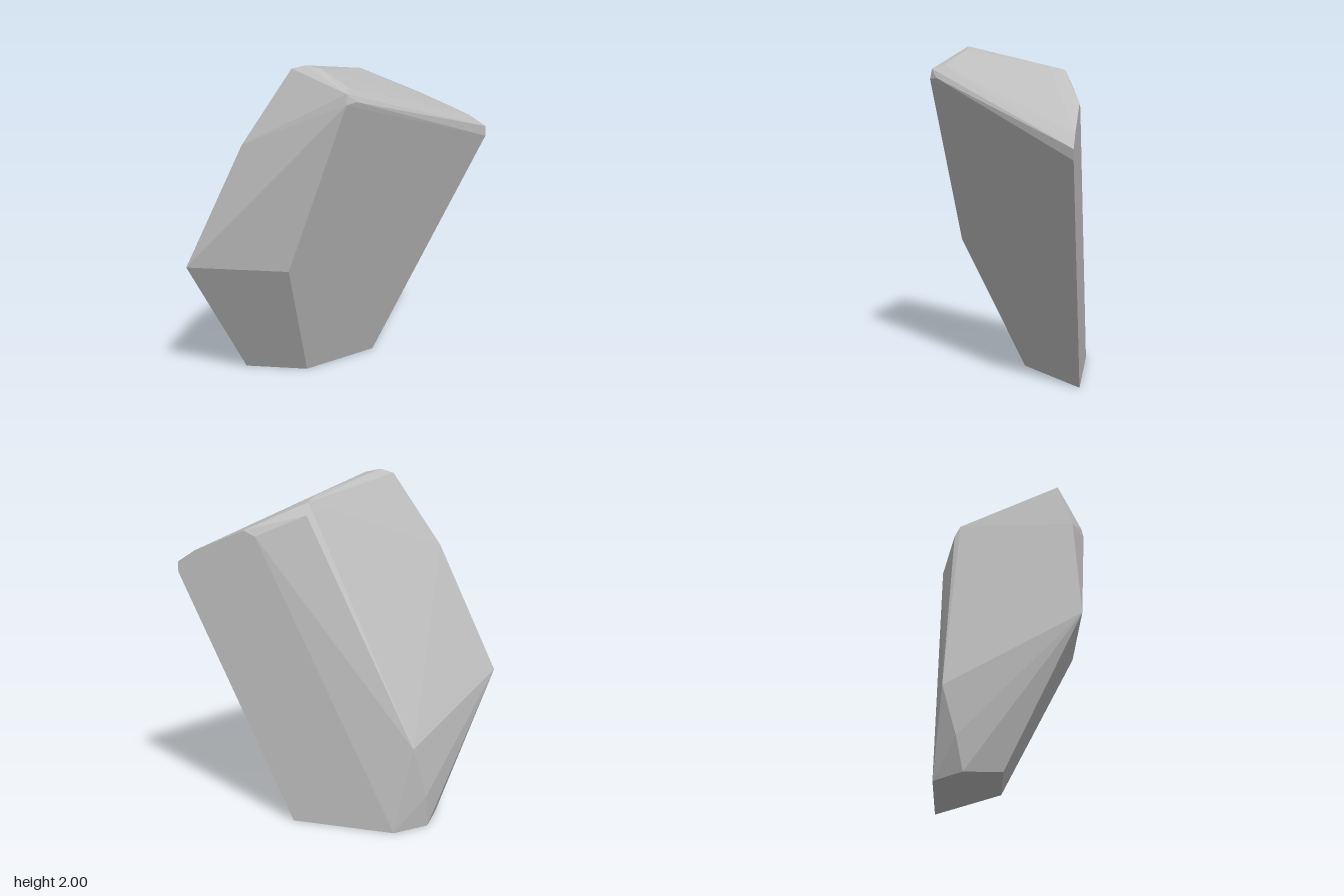
import * as THREE from 'three';
import { ConvexGeometry } from 'three/addons/geometries/ConvexGeometry.js';

export function createModel() {
  const stone = new THREE.MeshStandardMaterial({ color: 0xbebebe });
  stone.name = 'pale stone grey';

  // Corners of the chiselled boulder, grouped by level
  const foot = [
    [-0.6, 0, -0.08], [-0.21, 0, -0.08], [0.17, 0, -0.45],
    [-0.44, 0, -0.45], [-0.6, 0, -0.29], [-0.6, 0.2, -0.33], [-0.54, 0.51, -0.41],
  ];
  const waist = [[-0.86, 0.8, 0.325], [-0.25, 0.8, 0.325], [-0.51, 1.55, 0.32]];
  const crest = [
    [-0.23, 1.98, 0.26], [-0.15, 2, 0.26], [-0.06, 1.98, 0.26],
    [0.1, 1.9, 0.36], [0.1, 1.88, 0.435], [0.1, 1.82, 0.447], [0.15, 1.83, 0.4],
    [0.1, 1.9, -0.25], [0.1, 1.88, -0.34], [0.1, 1.81, -0.375],
  ];
  const backShoulder = [
    [0.38, 1.69, -0.45], [0.45, 1.72, -0.45], [0.75, 1.59, -0.45],
    [0.855, 1.52, -0.45], [0.855, 1.46, -0.45],
  ];

  const points = [...foot, ...waist, ...crest, ...backShoulder]
    .map((p) => new THREE.Vector3(...p));
  const boulder = new THREE.Mesh(new ConvexGeometry(points), stone);
  boulder.name = 'boulder';

  const group = new THREE.Group();
  group.name = 'rock';
  group.add(boulder);
  return group;
}
